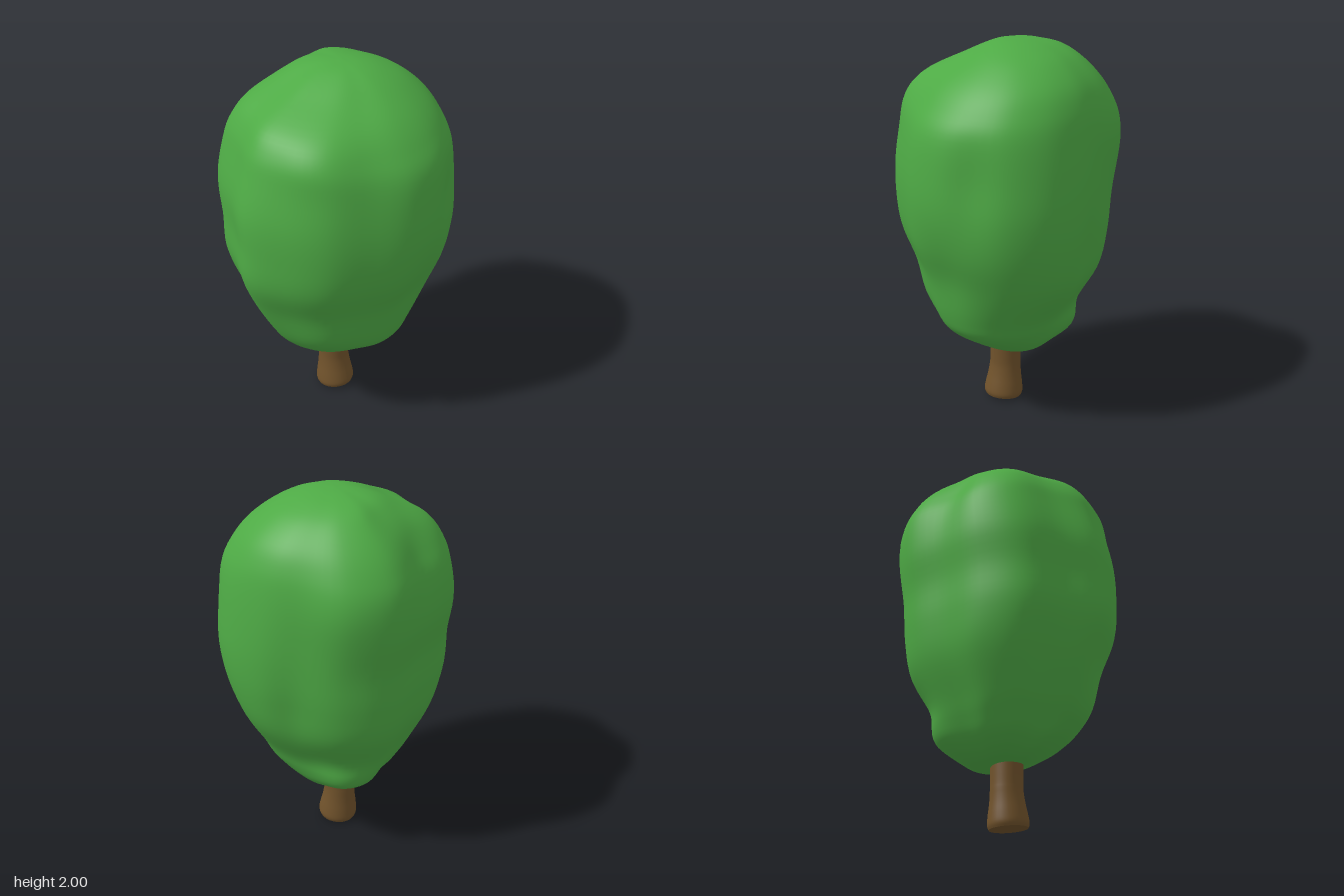
import * as THREE from 'three';
import { mergeVertices } from 'three/addons/utils/BufferGeometryUtils.js';

// Crown cross-sections: [y, xMin, xMax, zMin, zMax]
const SECTIONS = [
  [0.31, 0.08, 0.08, -0.05, -0.05],
  [0.342, -0.13, 0.21, -0.19, 0.09],
  [0.41, -0.255, 0.285, -0.285, 0.22],
  [0.5, -0.34, 0.345, -0.345, 0.345],
  [0.6, -0.41, 0.395, -0.395, 0.395],
  [0.8, -0.51, 0.52, -0.485, 0.45],
  [1.0, -0.588, 0.575, -0.52, 0.525],
  [1.2, -0.597, 0.594, -0.53, 0.56],
  [1.4, -0.593, 0.588, -0.56, 0.558],
  [1.6, -0.54, 0.565, -0.55, 0.53],
  [1.72, -0.495, 0.535, -0.505, 0.46],
  [1.82, -0.41, 0.48, -0.435, 0.37],
  [1.91, -0.225, 0.38, -0.335, 0.25],
  [1.965, -0.1, 0.27, -0.25, 0.15],
  [1.992, -0.01, 0.17, -0.14, 0.06],
  [2.0, 0.08, 0.08, -0.04, -0.04],
];

// Plan outline of the crown: radius every 22.5 degrees, from +x towards +z
const PLAN = [0.99, 1.035, 1.06, 1.045, 1.0, 0.92, 0.945, 0.955,
  1.0, 0.945, 1.035, 1.03, 0.975, 1.065, 1.025, 0.96];

// Soft lumps (+) and hollows (-): [x, y, z, width, height, amount]
const LUMPS = [
  [-0.06, 1.72, -0.48, 0.13, 0.22, -0.035],
  [0.32, 1.35, 0.47, 0.12, 0.25, -0.03],
  [0.14, 0.92, 0.48, 0.13, 0.26, -0.02],
  [0.53, 0.92, -0.12, 0.11, 0.25, -0.025],
  [0.55, 1.4, -0.2, 0.13, 0.2, -0.01],
  [-0.27, 0.5, 0.26, 0.1, 0.08, -0.015],
  [0.26, 0.45, -0.23, 0.17, 0.12, 0.06],
  [0.4, 1.55, -0.35, 0.2, 0.18, 0.03],
  [-0.34, 1.73, 0.25, 0.2, 0.14, 0.04],
  [-0.33, 0.62, 0.22, 0.18, 0.16, 0.02],
];

function crownGeometry(rings = 72, sides = 80) {
  const spline = (i, j) => new THREE.CatmullRomCurve3(
    SECTIONS.map((s) => new THREE.Vector3(s[i], s[0], s[j])), false, 'catmullrom', 0.5);
  const xs = spline(1, 2), zs = spline(3, 4);
  const plan = new THREE.CatmullRomCurve3(PLAN.map((r, i) => {
    const t = (i / PLAN.length) * Math.PI * 2;
    return new THREE.Vector3(r * Math.cos(t), 0, r * Math.sin(t));
  }), true, 'catmullrom', 0.5);
  const positions = [], index = [];
  for (let r = 0; r <= rings; r++) {
    const a = xs.getPoint(r / rings), b = zs.getPoint(r / rings);
    const cx = (a.x + a.z) / 2, hx = (a.z - a.x) / 2;
    const cz = (b.x + b.z) / 2, hz = (b.z - b.x) / 2;
    for (let s = 0; s < sides; s++) {
      const p = plan.getPoint(s / sides);
      const x = cx + hx * p.x, z = cz + hz * p.z;
      let push = 0;
      for (const [lx, ly, lz, w, h, amount] of LUMPS) {
        const q = ((x - lx) ** 2 + (z - lz) ** 2) / (w * w) + ((a.y - ly) / h) ** 2;
        push += amount * Math.exp(-q);
      }
      push *= Math.min(1, hx / 0.3);
      positions.push(x + p.x * push, a.y, z + p.z * push);
      if (r < rings) {
        const n = (s + 1) % sides, o = r * sides;
        index.push(o + s, o + sides + s, o + n, o + n, o + sides + s, o + sides + n);
      }
    }
  }
  const g = new THREE.BufferGeometry();
  g.setAttribute('position', new THREE.Float32BufferAttribute(positions, 3));
  g.setIndex(index);
  const merged = mergeVertices(g, 1e-4); // weld the poles
  merged.computeVertexNormals();
  return merged;
}

// Leans the trunk back a little and tilts its foot
function bendTrunk(g) {
  const p = g.attributes.position;
  for (let i = 0; i < p.count; i++) {
    const x = p.getX(i), y = p.getY(i), z = p.getZ(i);
    const foot = Math.max(0, 1 - y / 0.2);
    p.setXYZ(i, x + 0.01, y + z * 0.11 * foot, z - 0.027 + 0.015 * foot);
  }
  g.computeVertexNormals();
  return g;
}

function trunkGeometry() {
  const profile = [[0.098, 0.012], [0.105, 0.035], [0.1, 0.08], [0.09, 0.14], [0.084, 0.2], [0.083, 0.27], [0.087, 0.5]]
    .map(([r, y]) => new THREE.Vector2(r, y));
  return bendTrunk(new THREE.LatheGeometry(new THREE.SplineCurve(profile).getPoints(24), 32));
}

export function createModel() {
  const tree = new THREE.Group();
  tree.name = 'tree';

  const crown = new THREE.Mesh(crownGeometry(), new THREE.MeshStandardMaterial({ color: 0x4eaa45 }));
  crown.name = 'crown';

  const bark = new THREE.MeshStandardMaterial({ color: 0x70522b });
  const trunk = new THREE.Mesh(trunkGeometry(), bark);
  trunk.name = 'trunk';

  // Flat underside of the trunk
  const base = new THREE.CircleGeometry(0.098, 32).rotateX(Math.PI / 2).translate(0, 0.012, 0);
  const trunkBase = new THREE.Mesh(bendTrunk(base), bark);
  trunkBase.name = 'trunkBase';

  tree.add(crown, trunk, trunkBase);
  return tree;
}
